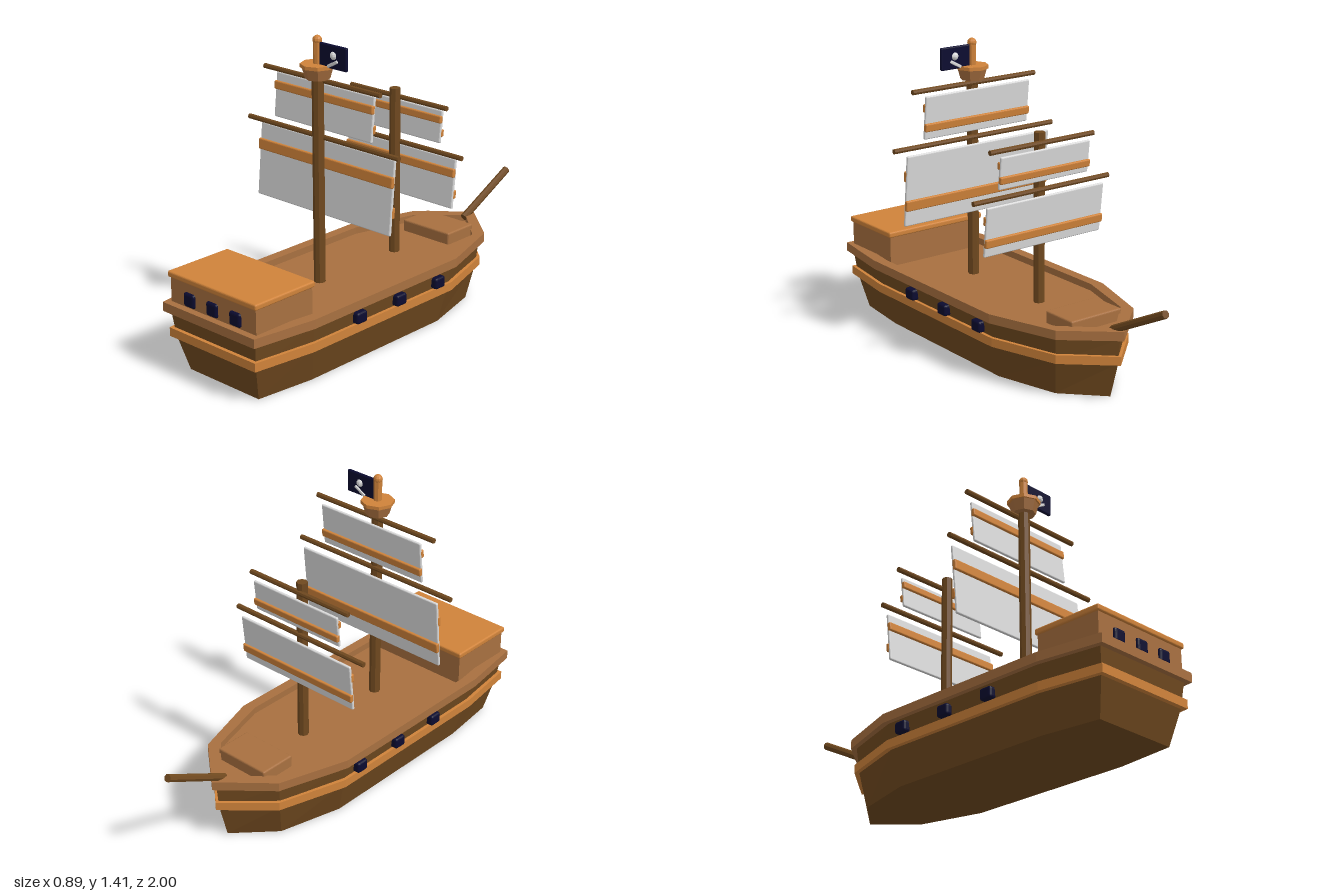
import * as THREE from 'three';
import { RoundedBoxGeometry } from 'three/addons/geometries/RoundedBoxGeometry.js';

const mat = (name, color) => {
  const m = new THREE.MeshStandardMaterial({ color, flatShading: true });
  m.name = name;
  return m;
};

// Half outline of the hull at the rail (x, z), stern to bow
const HALF = [[0.28, 1], [0.325, 0.69], [0.325, -0.22], [0.22, -0.55], [0, -0.74]];
const OUTLINE = [...HALF, ...HALF.slice(0, 4).reverse().map(([x, z]) => [-x, z])];
const MID = 0.13;

// Stacks scaled copies of the outline, layers = [y, scaleX, scaleZ], and closes both ends
function hullLoft(layers) {
  const n = OUTLINE.length, pos = [], idx = [];
  for (const [y, sx, sz] of layers)
    for (const [x, z] of OUTLINE) pos.push(x * sx, y, MID + (z - MID) * sz);
  for (let l = 0; l < layers.length - 1; l++)
    for (let i = 0; i < n; i++) {
      const a = l * n + i, b = l * n + (i + 1) % n;
      idx.push(a, b, b + n, a, b + n, a + n);
    }
  const top = (layers.length - 1) * n;
  for (let i = 1; i < n - 1; i++) idx.push(0, i + 1, i, top, top + i, top + i + 1);
  const g = new THREE.BufferGeometry();
  g.setAttribute('position', new THREE.Float32BufferAttribute(pos, 3));
  g.setIndex(idx);
  const flat = g.toNonIndexed();
  flat.computeVertexNormals();
  return flat;
}

export function createModel() {
  const ship = new THREE.Group();
  ship.name = 'sailingShip';
  const dark = mat('darkWood', 0x70491f);
  const wood = mat('wood', 0xa87040);
  const orange = mat('orangeTrim', 0xd0833a);
  const navy = mat('navy', 0x0b0b30);
  const cloth = mat('sailCloth', 0xdcdcdc);

  const add = (name, geo, material, x = 0, y = 0, z = 0, parent = ship) => {
    const m = new THREE.Mesh(geo, material);
    m.name = name;
    m.position.set(x, y, z);
    parent.add(m);
    return m;
  };
  const box = (w, h, d, r = 0.006) => new RoundedBoxGeometry(w, h, d, 2, r);
  const UP = new THREE.Vector3(0, 1, 0);
  const rod = (name, from, to, r, material, parent = ship) => {
    const a = new THREE.Vector3(...from), b = new THREE.Vector3(...to);
    const dir = b.clone().sub(a);
    const c = a.clone().add(b).multiplyScalar(0.5);
    const m = add(name, new THREE.CylinderGeometry(r, r, dir.length(), 8), material, c.x, c.y, c.z, parent);
    m.quaternion.setFromUnitVectors(UP, dir.normalize());
    return m;
  };

  // Hull, painted belt, and rail with sunken deck
  add('hull', hullLoft([[0, 0.754, 0.905], [0.165, 0.877, 0.955], [0.282, 0.925, 0.97]]), dark);
  add('hullBelt', hullLoft([[0.163, 0.94, 0.98], [0.203, 0.94, 0.98]]), orange);
  add('railAndDeck', hullLoft([[0.28, 1, 1], [0.322, 1, 1], [0.322, 0.846, 0.93], [0.29, 0.846, 0.93]]), wood);

  // Portholes along both sides
  for (const side of [1, -1])
    for (const z of [0.4, 0.145, -0.115])
      add('porthole', box(0.04, 0.054, 0.064, 0.012), navy, side * 0.305, 0.234, z);

  // Stern cabin
  add('cabin', new THREE.BoxGeometry(0.52, 0.155, 0.325), wood, 0, 0.363, 0.805);
  add('cabinRoof', box(0.54, 0.028, 0.345, 0.008), orange, 0, 0.448, 0.805);
  for (const x of [-0.14, 0, 0.14])
    add('cabinWindow', box(0.066, 0.064, 0.03, 0.012), navy, x, 0.36, 0.965);

  // Foredeck hatch and bowsprit
  add('hatch', box(0.28, 0.065, 0.178, 0.008), wood, 0, 0.313, -0.472);
  rod('bowsprit', [0, 0.312, -0.665], [0, 0.476, -0.99], 0.018, dark);

  // One sail with its yard and a trim band on either face
  const sail = (parent, s) => {
    rod('yard', [-s.yardHalf, s.yardY, s.yardZ], [s.yardHalf, s.yardY, s.yardZ], 0.012, dark, parent);
    const h = s.top - s.bottom;
    const g = new THREE.Group();
    g.name = 'sail';
    g.position.set(0, (s.top + s.bottom) / 2, (s.topZ + s.bottomZ) / 2);
    g.rotation.x = -Math.atan2(s.bottomZ - s.topZ, h);
    parent.add(g);
    add('sailSheet', box(s.half * 2, h, 0.014), cloth, 0, 0, 0, g);
    add('aftBand', box(s.half * 2 + 0.004, s.band, 0.02), orange, 0, s.aftY - g.position.y, 0.008, g);
    add('foreBand', box(s.half * 2 + 0.004, s.band, 0.02), orange, 0, s.foreY - g.position.y, -0.008, g);
  };

  // Main mast
  const main = new THREE.Group();
  main.name = 'mainMast';
  ship.add(main);
  rod('mastPole', [0, 0.28, 0.332], [0, 1.25, 0.332], 0.026, dark, main);
  sail(main, { yardHalf: 0.447, yardY: 0.957, yardZ: 0.312, half: 0.4, bottom: 0.6, top: 0.935,
    bottomZ: 0.311, topZ: 0.279, band: 0.05, aftY: 0.836, foreY: 0.7 });
  sail(main, { yardHalf: 0.342, yardY: 1.21, yardZ: 0.312, half: 0.29, bottom: 0.988, top: 1.19,
    bottomZ: 0.306, topZ: 0.285, band: 0.038, aftY: 1.132, foreY: 1.045 });

  // Lookout basket and topmast
  add('lookoutBasket', new THREE.CylinderGeometry(0.069, 0.054, 0.055, 8), wood, 0, 1.25, 0.332, main);
  add('lookoutRim', new THREE.CylinderGeometry(0.076, 0.076, 0.016, 8), orange, 0, 1.281, 0.332, main);
  rod('topmast', [0, 1.25, 0.332], [0, 1.39, 0.332], 0.019, orange, main);
  add('mastBall', new THREE.SphereGeometry(0.021, 10, 8), orange, 0, 1.391, 0.332, main);

  // Flag with a skull and a bone showing on both faces
  add('flag', box(0.158, 0.104, 0.016), navy, 0.095, 1.333, 0.332, main);
  add('skull', new THREE.SphereGeometry(0.02, 10, 8), cloth, 0.1, 1.34, 0.332, main);
  const bone = add('bone', box(0.066, 0.014, 0.028, 0.004), cloth, 0.097, 1.304, 0.332, main);
  bone.rotation.z = 0.5;

  // Foremast
  const fore = new THREE.Group();
  fore.name = 'foreMast';
  ship.add(fore);
  rod('mastPole', [0, 0.28, -0.161], [0, 1.075, -0.161], 0.025, dark, fore);
  sail(fore, { yardHalf: 0.377, yardY: 0.82, yardZ: -0.182, half: 0.325, bottom: 0.57, top: 0.8,
    bottomZ: -0.184, topZ: -0.209, band: 0.04, aftY: 0.735, foreY: 0.635 });
  sail(fore, { yardHalf: 0.287, yardY: 1.03, yardZ: -0.182, half: 0.247, bottom: 0.86, top: 1.01,
    bottomZ: -0.188, topZ: -0.205, band: 0.034, aftY: 0.968, foreY: 0.905 });

  return ship;
}
